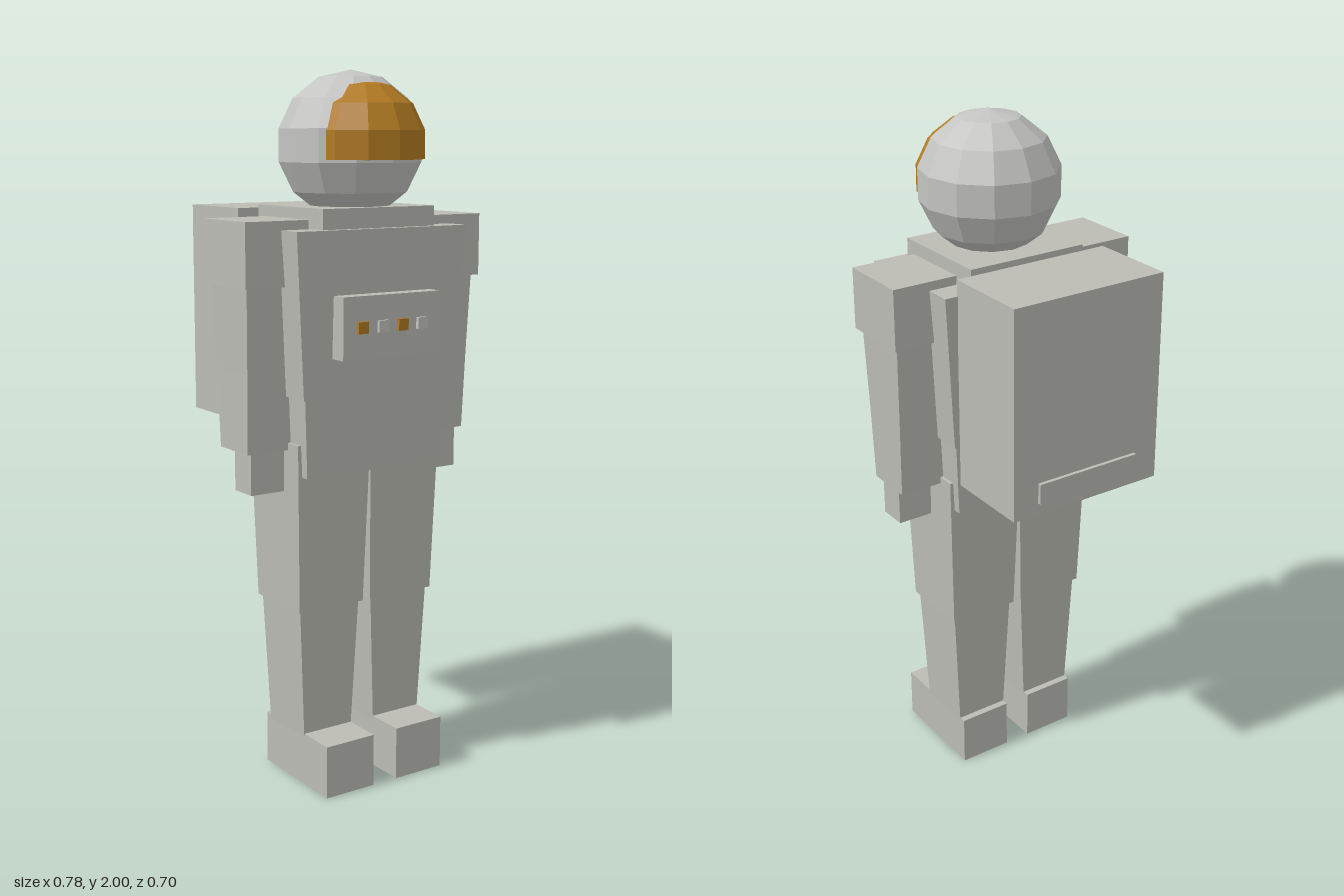
import * as THREE from 'three';

export function createModel() {
  const model = new THREE.Group();
  model.name = 'spaceSuitFigure';

  const suit = new THREE.MeshStandardMaterial({ color: 0xbcbcb5, flatShading: true });
  suit.name = 'suit grey';
  const shell = new THREE.MeshStandardMaterial({ color: 0xc4c4c2, flatShading: true });
  shell.name = 'helmet grey';
  const gold = new THREE.MeshStandardMaterial({ color: 0xb27b22, flatShading: true, side: THREE.DoubleSide });
  gold.name = 'visor gold';

  const add = (name, geometry, material, x, y, z, parent = model) => {
    const mesh = new THREE.Mesh(geometry, material);
    mesh.name = name;
    mesh.position.set(x, y, z);
    parent.add(mesh);
    return mesh;
  };

  // Plain box given by its limits on each axis
  const box = (name, [x0, x1], [y0, y1], [z0, z1], material = suit, parent = model) =>
    add(name, new THREE.BoxGeometry(x1 - x0, y1 - y0, z1 - z0), material,
      (x0 + x1) / 2, (y0 + y1) / 2, (z0 + z1) / 2, parent);

  // Tapered block: a box whose top and bottom have their own [centre x, half width, half depth]
  const taper = (name, y0, y1, bottom, top, z, parent = model) => {
    const geometry = new THREE.BoxGeometry(2, y1 - y0, 2);
    const p = geometry.attributes.position;
    for (let i = 0; i < p.count; i++) {
      const [cx, hw, hd] = p.getY(i) > 0 ? top : bottom;
      p.setX(i, cx + p.getX(i) * hw);
      p.setZ(i, p.getZ(i) * hd);
    }
    geometry.computeVertexNormals();
    return add(name, geometry, suit, 0, (y0 + y1) / 2, z, parent);
  };

  // Helmet, and a smaller dome pushed forward as the visor
  add('helmet', new THREE.SphereGeometry(0.202, 12, 7), shell, 0, 1.798, 0.122);
  add('visor', new THREE.SphereGeometry(0.175, 12, 4, 0, Math.PI * 2, 0, Math.PI * 4 / 7),
    gold, 0, 1.8, 0.18);

  // Body
  box('collar', [-0.184, 0.184], [1.56, 1.635], [-0.062, 0.263]);
  taper('chest', 1.13, 1.58, [0, 0.248, 0.167], [0, 0.28, 0.185], 0.1);
  taper('hips', 0.91, 1.15, [0, 0.225, 0.147], [0, 0.24, 0.16], 0.1);

  // Control panel with four buttons
  box('chestPanel', [-0.16, 0.16], [1.237, 1.407], [0.24, 0.323]);
  [-0.1, -0.033, 0.032, 0.097].forEach((x, i) =>
    box('panelButton', [x - 0.016, x + 0.016], [1.307, 1.339], [0.31, 0.333], i % 2 ? shell : gold));

  // Backpack
  box('backpack', [-0.24, 0.24], [1.02, 1.625], [-0.342, -0.08]);
  box('backpackBar', [-0.162, 0.162], [1.055, 1.115], [-0.353, -0.33]);

  // Arms and legs, mirrored by the sign of x
  for (const [side, s] of [['left', 1], ['right', -1]]) {
    const limb = new THREE.Group();
    limb.name = side + 'Limbs';
    model.add(limb);
    const span = (a, b) => (s > 0 ? [a, b] : [-b, -a]);

    box(side + 'Shoulder', span(0.195, 0.39), [1.43, 1.605], [-0.007, 0.209], suit, limb);
    taper(side + 'UpperArm', 1.2, 1.44, [s * 0.294, 0.077, 0.081], [s * 0.294, 0.083, 0.092], 0.1, limb);
    taper(side + 'Forearm', 0.98, 1.2, [s * 0.296, 0.071, 0.072], [s * 0.294, 0.077, 0.081], 0.1, limb);
    box(side + 'Hand', span(0.245, 0.35), [0.863, 1.0], [0.075, 0.16], suit, limb);

    taper(side + 'Thigh', 0.52, 1.0, [s * 0.12, 0.107, 0.11], [s * 0.12, 0.12, 0.125], 0.1, limb);
    taper(side + 'Shin', 0.14, 0.53, [s * 0.12, 0.08, 0.09], [s * 0.12, 0.099, 0.1], 0.1, limb);
    box(side + 'Boot', span(0.04, 0.2), [0, 0.152], [-0.011, 0.306], suit, limb);
  }
  return model;
}
